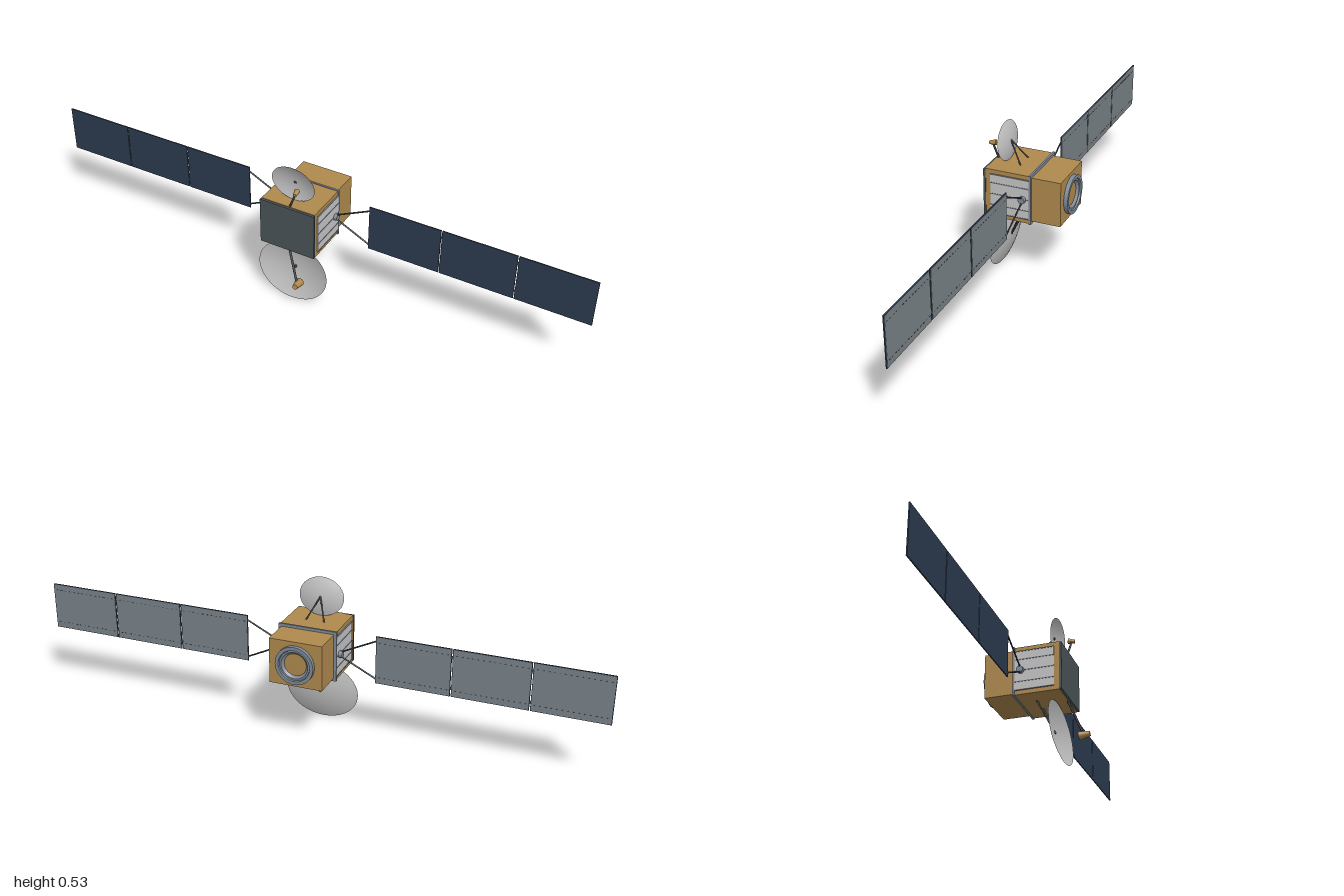
import * as THREE from 'three';

const mat = (name, color, double = false) => {
  const m = new THREE.MeshStandardMaterial({ color });
  m.name = name;
  if (double) m.side = THREE.DoubleSide;
  return m;
};

export function createModel() {
  const root = new THREE.Group();
  root.name = 'satellite';
  const gold = mat('gold foil', 0xb08a4e);
  const navy = mat('solar cell navy', 0x2c3c50);
  const backGrey = mat('panel back grey', 0x7a8389);
  const white = mat('radiator white', 0xc6c6c6);
  const slate = mat('front slate', 0x4b5559);
  const steel = mat('steel blue grey', 0x7f8a96, true);
  const dark = mat('dark strut', 0x45484b);
  const dishGrey = mat('dish light grey', 0xc2c2c2, true);

  const add = (parent, name, geo, material, x = 0, y = 0, z = 0) => {
    const m = new THREE.Mesh(geo, material);
    m.name = name;
    m.position.set(x, y, z);
    parent.add(m);
    return m;
  };
  const box = (parent, name, material, w, h, d, x, y, z) =>
    add(parent, name, new THREE.BoxGeometry(w, h, d), material, x, y, z);
  // Cylinder or cone running from point a to point b
  const rod = (parent, name, material, a, b, r0 = 0.003, r1 = r0, sides = 8) => {
    const p = new THREE.Vector3(...a), q = new THREE.Vector3(...b);
    const dir = q.clone().sub(p);
    const m = add(parent, name, new THREE.CylinderGeometry(r1, r0, dir.length(), sides), material);
    m.position.copy(p).add(q).multiplyScalar(0.5);
    m.quaternion.setFromUnitVectors(new THREE.Vector3(0, 1, 0), dir.normalize());
    return m;
  };

  const CY = 0.3075; // height of the body axis
  const PZ = -0.022; // depth of the solar wings

  // Body
  box(root, 'frontBody', gold, 0.2, 0.174, 0.155, 0, CY, 0.0335);
  box(root, 'frontPanel', slate, 0.204, 0.17, 0.008, 0, CY, 0.115);
  box(root, 'bodyCollar', steel, 0.206, 0.179, 0.007, 0, CY, -0.0475);
  box(root, 'rearBody', gold, 0.186, 0.159, 0.103, 0, CY, -0.1015);

  // Rear engine ring with an open, bevelled bore
  const ringProfile = [[0.067, 0], [0.067, 0.014], [0.055, 0.014], [0.053, 0.009], [0.047, 0.009], [0.039, 0.001]]
    .map(p => new THREE.Vector2(...p));
  const ring = new THREE.LatheGeometry(ringProfile, 40).toNonIndexed();
  ring.computeVertexNormals();
  ring.rotateX(-Math.PI / 2);
  add(root, 'engineRing', ring, steel, 0, CY, -0.153);

  // Side radiators, wing joints, yokes and solar wings
  for (const s of [1, -1]) {
    const side = new THREE.Group();
    side.name = s > 0 ? 'leftSide' : 'rightSide';
    root.add(side);

    box(side, 'radiator', white, 0.004, 0.141, 0.138, s * 0.101, CY, 0.0245);
    for (const y of [0.378, 0.3475, 0.3075, 0.267, 0.237])
      box(side, 'radiatorBar', steel, 0.005, 0.003, 0.138, s * 0.102, y, 0.0245);

    rod(side, 'wingJoint', steel, [s * 0.1, CY, PZ], [s * 0.115, CY, PZ], 0.013, 0.012, 10);
    for (const v of [1, -1])
      rod(side, 'yokeStrut', dark, [s * 0.108, CY + v * 0.008, PZ], [s * 0.231, CY + v * 0.068, PZ], 0.0028);

    const W = 0.2543, GAP = 0.0035;
    for (let i = 0; i < 3; i++) {
      const x = s * (0.23 + W / 2 + i * (W + GAP));
      const panel = new THREE.Group();
      panel.name = 'solarPanel';
      panel.position.set(x, CY + 0.001, PZ);
      side.add(panel);
      box(panel, 'solarCells', navy, W, 0.168, 0.004, 0, 0, 0);
      box(panel, 'panelBack', backGrey, W - 0.004, 0.165, 0.001, 0, 0, -0.0024);
      // Rows of small clips along the back
      for (const v of [1, -1])
        for (let k = 0; k < 14; k++)
          box(panel, 'backClip', dark, 0.007, 0.002, 0.001, (k - 6.5) * 0.0175, v * 0.062, -0.003);
      // Hinges to the next panel
      if (i < 2)
        for (const v of [1, -1])
          box(panel, 'hinge', dark, 0.01, 0.008, 0.004, s * (W + GAP) / 2, v * 0.055, -0.001);
    }
  }

  // Elliptical dish: shallow paraboloid opening to the front
  const dish = (name, y, z, rx, ry, depth, tilt) => {
    const pts = [];
    for (let i = 0; i <= 10; i++) {
      const t = Math.max(i / 10, 0.001);
      pts.push(new THREE.Vector2(t, depth * (t * t - 1)));
    }
    const geo = new THREE.LatheGeometry(pts, 40);
    geo.rotateX(Math.PI / 2);
    geo.scale(rx, ry, 1);
    geo.computeVertexNormals();
    const m = add(root, name, geo, dishGrey, 0, y, z);
    m.rotation.x = tilt;
  };
  dish('lowerDish', 0.1095, 0.084, 0.132, 0.109, 0.021, -0.103);
  dish('upperDish', 0.461, 0.0755, 0.08, 0.0672, 0.0135, 0.115);

  // V-shaped dish braces
  for (const s of [1, -1]) {
    rod(root, 'lowerDishBrace', dark, [0, 0.109, 0.065], [s * 0.035, 0.222, 0.012], 0.003);
    rod(root, 'upperDishBrace', dark, [0, 0.463, 0.064], [s * 0.033, 0.393, 0.015], 0.0025);
  }
  add(root, 'lowerDishPin', new THREE.SphereGeometry(0.004, 10, 8), dark, 0, 0.111, 0.064);
  add(root, 'upperDishPin', new THREE.SphereGeometry(0.004, 10, 8), dark, 0, 0.462, 0.063);

  // Feed horns on offset arms, wide end towards the dish
  rod(root, 'lowerFeedArm', dark, [0.003, 0.223, 0.108], [0.053, 0.118, 0.145], 0.0042);
  rod(root, 'lowerFeedHorn', gold, [0.054, 0.113, 0.129], [0.058, 0.119, 0.167], 0.015, 0.009, 20);
  rod(root, 'upperFeedArm', dark, [0.005, 0.392, 0.107], [0.032, 0.457, 0.115], 0.0036);
  rod(root, 'upperFeedHorn', gold, [0.031, 0.461, 0.103], [0.035, 0.458, 0.126], 0.0095, 0.006, 20);

  return root;
}
